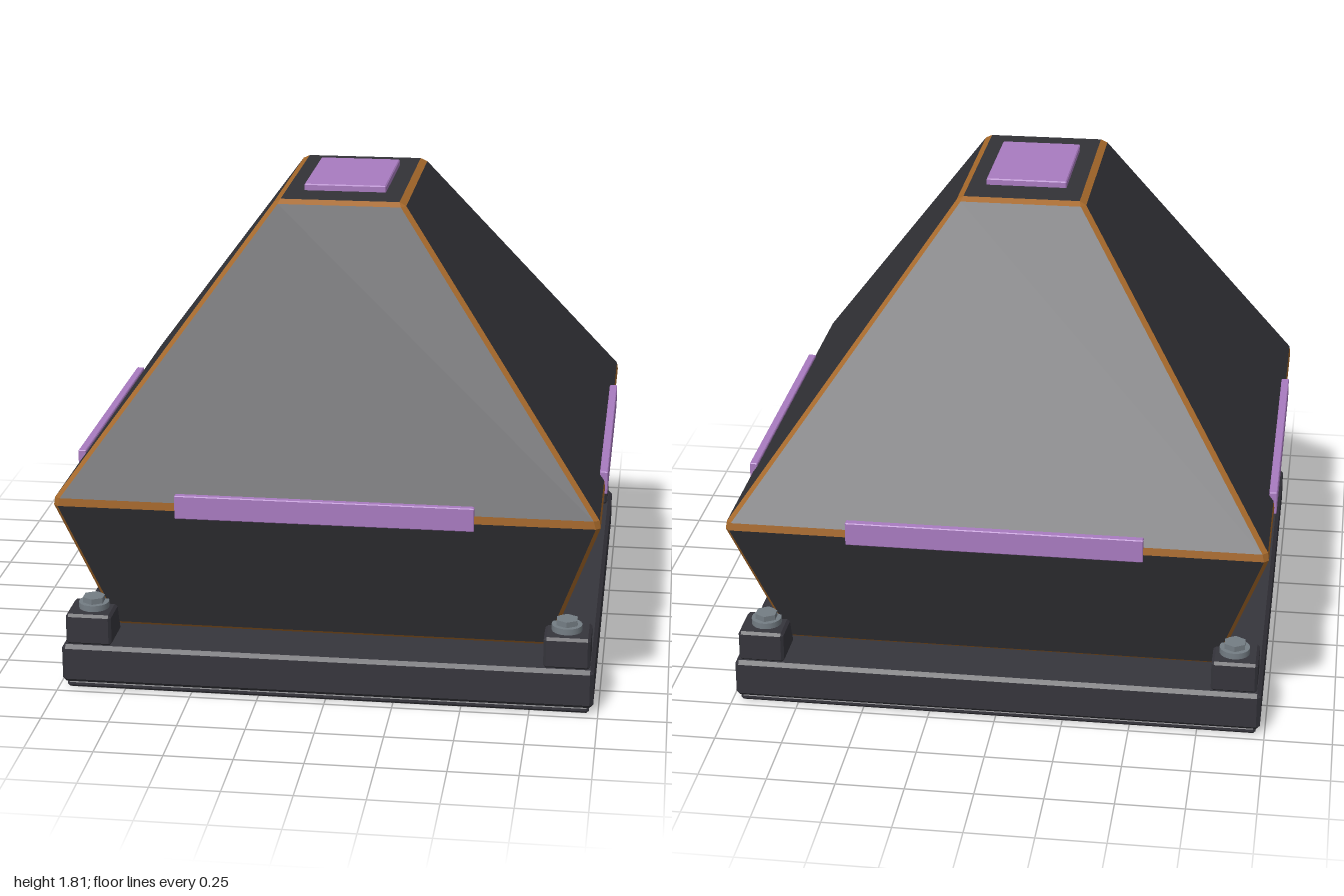
import * as THREE from 'three';

const material = (name, color) => new THREE.MeshStandardMaterial({ name, color });

// Chamfers a convex solid: faces are inset, then joined by edge strips and corner caps.
// Group 0 holds the panels, group 1 the chamfers.
function chamferedSolid(points, faces, inset) {
  const verts = points.map((p) => new THREE.Vector3(...p));
  const center = new THREE.Vector3();
  verts.forEach((v) => center.addScaledVector(v, 1 / verts.length));
  const panels = [], trims = [];

  const addPolygon = (out, poly) => {
    for (let i = 1; i < poly.length - 1; i++) {
      const [a, b, c] = [poly[0], poly[i], poly[i + 1]];
      const normal = b.clone().sub(a).cross(c.clone().sub(a));
      const outward = normal.dot(a.clone().sub(center)) > 0;
      for (const p of outward ? [a, b, c] : [a, c, b]) out.push(p.x, p.y, p.z);
    }
  };

  const edges = new Map();
  const corners = verts.map(() => []);
  for (const face of faces) {
    const n = face.length;
    const ring = face.map((id, i) => {
      const v = verts[id];
      const e1 = verts[face[(i + 1) % n]].clone().sub(v).normalize();
      const e2 = verts[face[(i + n - 1) % n]].clone().sub(v).normalize();
      const k = inset / e1.clone().cross(e2).length();
      return v.clone().addScaledVector(e1.add(e2), k);
    });
    addPolygon(panels, ring);
    face.forEach((id, i) => {
      const j = (i + 1) % n;
      const key = [id, face[j]].sort((a, b) => a - b).join('-');
      const pair = id < face[j] ? [ring[i], ring[j]] : [ring[j], ring[i]];
      if (edges.has(key)) {
        const other = edges.get(key);
        addPolygon(trims, [other[0], other[1], pair[1], pair[0]]);
      } else edges.set(key, pair);
      corners[id].push(ring[i]);
    });
  }

  // Corner caps, with their points sorted around the outward direction
  corners.forEach((ring, id) => {
    const axis = verts[id].clone().sub(center).normalize();
    const mid = new THREE.Vector3();
    ring.forEach((p) => mid.addScaledVector(p, 1 / ring.length));
    const u = ring[0].clone().sub(mid).projectOnPlane(axis).normalize();
    const w = axis.clone().cross(u);
    const angle = (p) => {
      const d = p.clone().sub(mid);
      return Math.atan2(d.dot(w), d.dot(u));
    };
    addPolygon(trims, ring.sort((a, b) => angle(a) - angle(b)));
  });

  const geometry = new THREE.BufferGeometry();
  geometry.setAttribute('position', new THREE.Float32BufferAttribute([...panels, ...trims], 3));
  geometry.addGroup(0, panels.length / 3, 0);
  geometry.addGroup(panels.length / 3, trims.length / 3, 1);
  geometry.computeVertexNormals();
  return geometry;
}

// Stack of rectangular rings [y, x0, x1, z0, z1], closed at both ends
function ringSolid(rings, inset) {
  const points = [], faces = [[0, 1, 2, 3]];
  rings.forEach(([y, x0, x1, z0, z1], r) => {
    points.push([x0, y, z0], [x1, y, z0], [x1, y, z1], [x0, y, z1]);
    if (r === 0) return;
    const a = (r - 1) * 4, b = r * 4;
    for (let i = 0; i < 4; i++) {
      const j = (i + 1) % 4;
      faces.push([a + i, a + j, b + j, b + i]);
    }
  });
  const t = (rings.length - 1) * 4;
  faces.push([t, t + 1, t + 2, t + 3]);
  return chamferedSolid(points, faces, inset);
}

const chamferedBox = (w, h, d, inset) => ringSolid(
  [[-h / 2, -w / 2, w / 2, -d / 2, d / 2], [h / 2, -w / 2, w / 2, -d / 2, d / 2]], inset);

export function createModel() {
  const model = new THREE.Group();
  model.name = 'taperedHousing';
  const shell = material('charcoal shell', 0x323237);
  const copper = material('copper trim', 0xa5682a);
  const violet = material('violet panel', 0xa97bc0);
  const frame = material('dark frame', 0x36353c);
  const seam = material('black seam', 0x1c1c20);
  const steel = material('bolt steel', 0x747d84);
  const underside = material('grey underside', 0x696b6c);

  const add = (name, geometry, mat, x = 0, y = 0, z = 0, parent = model) => {
    const mesh = new THREE.Mesh(geometry, mat);
    mesh.name = name;
    mesh.position.set(x, y, z);
    parent.add(mesh);
    return mesh;
  };

  // Base slab on a slightly smaller foot plate with a grey underside
  add('undersidePlate', new THREE.BoxGeometry(1.912, 0.006, 1.912), underside, 0, 0.003, 0);
  add('footPlate', chamferedBox(1.935, 0.028, 1.935, 0.009), [frame, frame], 0, 0.016, 0);
  add('footSeam', new THREE.BoxGeometry(1.92, 0.02, 1.92), seam, 0, 0.03, 0);
  add('baseSlab', chamferedBox(1.965, 0.148, 1.965, 0.014), [frame, frame], 0, 0.1, 0);

  // Offset tapered body with copper chamfers
  add('body', ringSolid([
    [0.196, -0.812, 0.812, -0.812, 0.812],
    [0.74, -0.996, 0.996, -0.996, 0.996],
    [1.782, -0.234, 0.234, -0.235, 0.543],
  ], 0.016), [shell, copper]);

  // Panel on the roof
  add('roofPanel', chamferedBox(0.304, 0.036, 0.46, 0.004), [violet, violet], 0, 1.788, 0.152);

  // One bar along the widest edge of each side
  const bar = chamferedBox(1.084, 0.088, 0.03, 0.003);
  for (let i = 0; i < 4; i++) {
    const a = i * Math.PI / 2;
    add('sideBar', bar, [violet, violet], Math.sin(a) * 0.985, 0.742, Math.cos(a) * 0.985).rotation.y = a;
  }

  // Corner brackets with hex bolts
  const block = chamferedBox(0.17, 0.12, 0.17, 0.01);
  const washer = new THREE.CylinderGeometry(0.056, 0.056, 0.024, 24);
  const head = new THREE.CylinderGeometry(0.043, 0.043, 0.03, 6).toNonIndexed();
  head.computeVertexNormals();
  for (const sx of [-1, 1]) for (const sz of [-1, 1]) {
    const corner = new THREE.Group();
    corner.name = 'cornerBracket';
    corner.position.set(sx * 0.882, 0, sz * 0.882);
    model.add(corner);
    add('block', block, [frame, frame], 0, 0.231, 0, corner);
    add('washer', washer, steel, -sx * 0.005, 0.302, -sz * 0.005, corner);
    add('boltHead', head, steel, -sx * 0.005, 0.32, -sz * 0.005, corner);
  }
  return model;
}
